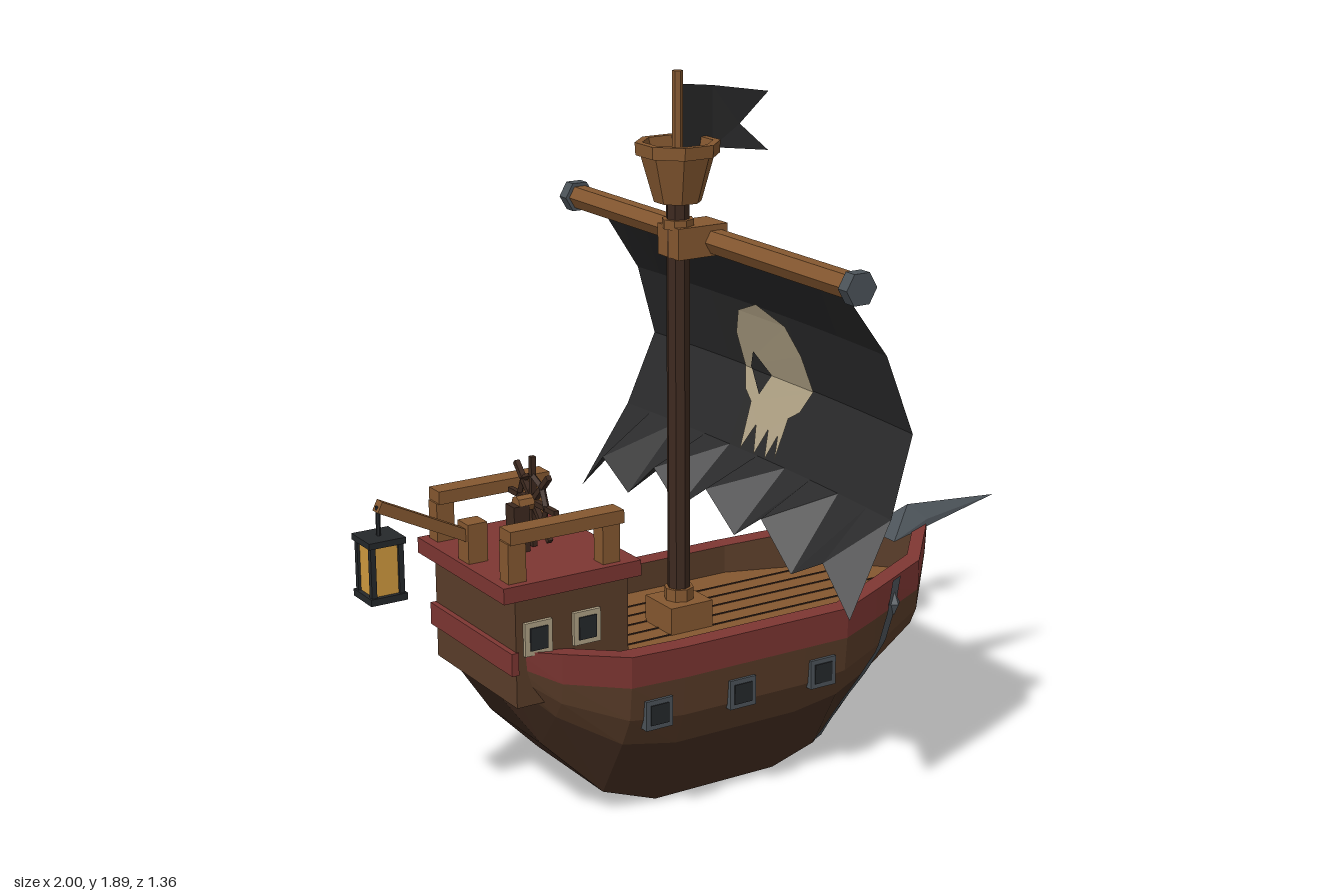
import * as THREE from 'three';
import { ConvexGeometry } from 'three/addons/geometries/ConvexGeometry.js';

const V = (x, y, z) => new THREE.Vector3(x, y, z);
const { lerp, clamp } = THREE.MathUtils;

export function createModel() {
  const ship = new THREE.Group();
  ship.name = 'sailingShip';
  const paint = (name, color, open) => {
    const m = new THREE.MeshStandardMaterial({ color, flatShading: true });
    if (open) m.side = THREE.DoubleSide;
    m.name = name;
    return m;
  };
  const red = paint('redTrim', 0x7d3632, true);
  const hullWood = paint('hullWood', 0x5a3d29, true);
  const lowWood = paint('lowerHullWood', 0x452e21, true);
  const darkWood = paint('darkWood', 0x3d291f, true);
  const wood = paint('lightWood', 0x855830, true);
  const metal = paint('metal', 0x4c5359, true);
  const iron = paint('darkIron', 0x25282b);
  const cloth = paint('blackCloth', 0x2a2a2b, true);
  const bone = paint('bone', 0xb0a285, true);
  const glow = paint('lanternGlass', 0xd09a3e);

  const add = (name, geo, mat, x = 0, y = 0, z = 0, parent = ship) => {
    const m = new THREE.Mesh(geo, mat);
    m.name = name;
    m.position.set(x, y, z);
    parent.add(m);
    return m;
  };
  const box = (name, mat, w, h, d, x, y, z) => add(name, new THREE.BoxGeometry(w, h, d), mat, x, y, z);
  const tube = (name, mat, r, h, n, x, y, z) => add(name, new THREE.CylinderGeometry(r, r, h, n), mat, x, y, z);
  // Flat-shaded surface through rows of points
  const skin = (name, rows, mat) => {
    const p = [];
    for (let i = 0; i + 1 < rows.length; i++)
      for (let j = 0; j + 1 < rows[i].length; j++) {
        const a = rows[i][j], b = rows[i][j + 1], c = rows[i + 1][j + 1], d = rows[i + 1][j];
        for (const v of [a, b, c, a, c, d]) p.push(v.x, v.y, v.z);
      }
    const g = new THREE.BufferGeometry();
    g.setAttribute('position', new THREE.Float32BufferAttribute(p, 3));
    g.computeVertexNormals();
    return add(name, g, mat);
  };

  // Hull stations: x, keel height, rail height, half width
  const stations = [
    [-0.685, 0.37, 0.52, 0.205], [-0.58, 0.22, 0.505, 0.255], [-0.42, 0.06, 0.485, 0.325],
    [-0.26, 0, 0.48, 0.325], [0.115, 0, 0.48, 0.325], [0.25, 0.04, 0.48, 0.325],
    [0.375, 0.085, 0.495, 0.283], [0.57, 0.215, 0.52, 0.213], [0.71, 0.38, 0.545, 0.06],
    [0.757, 0.475, 0.555, 0.004]];
  const shares = [[0, 0.99], [0.27, 0.96], [0.5, 0.84], [1, 0.53]];
  const atLevel = ([x, keel, top, w], k, s) => {
    if (k === 0) return V(x, top, s * w);
    const band = top - 0.085 * Math.min(1, (top - keel) / 0.3);
    const [t, f] = shares[k - 1];
    // The keel narrows to a stem at the bow
    const taper = k === 4 ? 1 - clamp((x - 0.25) / 0.5, 0, 1) : 1;
    return V(x, lerp(band, keel, t), s * w * f * taper);
  };
  const hullPoint = (x, level, s) => {
    let i = 0;
    while (i < stations.length - 2 && stations[i + 1][0] < x) i++;
    const t = (x - stations[i][0]) / (stations[i + 1][0] - stations[i][0]);
    const k = Math.min(3, Math.floor(level));
    const at = n => atLevel(stations[i], n, s).lerp(atLevel(stations[i + 1], n, s), t);
    return at(k).lerp(at(k + 1), level - k);
  };
  const deckY = 0.4;
  const inner = w => Math.max(w - 0.055, 0);
  const inside = stations.slice(0, -1);
  for (const s of [1, -1]) {
    const band = (name, mat, ks) => skin(name, stations.map(st => ks.map(k => atLevel(st, k, s))), mat);
    band('redBand', red, [0, 1]);
    band('hullSide', hullWood, [1, 2, 3]);
    band('lowerHull', lowWood, [3, 4]);
    skin('railTop', stations.map(st => [V(st[0], st[2], s * st[3]), V(st[0], st[2], s * inner(st[3]))]), red);
    skin('bulwark', inside.map(st => [V(st[0], st[2], s * inner(st[3])), V(st[0], deckY, s * inner(st[3]))]), hullWood);

    // Metal strap and stud near the bow
    const path = [0.455, 0.435, 0.4, 0.34, 0.23], strap = [];
    for (let i = 0; i <= 20; i++) {
      const l = i * 0.193, k = Math.min(3, Math.floor(l)), x = lerp(path[k], path[k + 1], l - k);
      strap.push([-0.018, 0.018].map(d => hullPoint(x + d, l, s).add(V(0, -0.001 * l, s * 0.01))));
    }
    skin('bowStrap', strap, metal);
    add('strapStud', new THREE.OctahedronGeometry(0.022), metal, 0.447, 0.435, s * 0.265).scale.set(0.9, 1.6, 0.9);

    // Gun ports
    for (const x of [-0.34, -0.085, 0.17]) {
      box('portFrame', metal, 0.08, 0.08, 0.04, x, 0.315, s * 0.306);
      box('portPane', iron, 0.054, 0.054, 0.046, x, 0.315, s * 0.306);
    }
    // Cabin windows
    for (const x of [-0.63, -0.49]) {
      box('windowFrame', bone, 0.078, 0.088, 0.02, x, 0.55, s * 0.215);
      box('windowPane', iron, 0.05, 0.06, 0.028, x, 0.55, s * 0.215);
    }
    // Cabin roof railing
    box('roofRail', wood, 0.325, 0.035, 0.056, -0.5375, 0.82, s * 0.19);
    for (const x of [-0.68, -0.41]) box('railPost', wood, 0.05, 0.11, 0.045, x, 0.75, s * 0.19);
  }
  skin('hullBottom', stations.map(st => [atLevel(st, 4, 1), atLevel(st, 4, -1)]), darkWood);
  skin('deck', inside.map(st => [V(st[0], deckY, -inner(st[3])), V(st[0], deckY, inner(st[3]))]), wood);
  for (const z of [-0.18, -0.12, -0.06, 0, 0.06, 0.12, 0.18]) {
    const end = 0.64 - Math.abs(z) * 0.9;
    box('deckSeam', darkWood, end + 0.36, 0.003, 0.005, (end - 0.36) / 2, deckY + 0.001, z);
  }
  add('bowSpike', new ConvexGeometry([V(1, 0.575, 0), V(0.69, 0.6, 0), V(0.76, 0.525, 0),
    V(0.595, 0.525, 0.067), V(0.595, 0.525, -0.067), V(0.73, 0.56, 0.04), V(0.73, 0.56, -0.04)]), metal);

  // Cabin
  box('cabin', hullWood, 0.325, 0.29, 0.43, -0.5275, 0.515, 0);
  box('cabinRoof', red, 0.395, 0.042, 0.465, -0.5325, 0.68, 0);
  box('sternTrim', red, 0.02, 0.06, 0.44, -0.695, 0.49, 0);

  // Steering wheel
  box('wheelStand', darkWood, 0.045, 0.13, 0.045, -0.56, 0.76, 0);
  const wheel = new THREE.Group();
  wheel.name = 'steeringWheel';
  wheel.position.set(-0.515, 0.825, 0);
  wheel.rotation.y = Math.PI / 2;
  ship.add(wheel);
  add('wheelRim', new THREE.TorusGeometry(0.07, 0.009, 4, 8), darkWood, 0, 0, 0, wheel);
  add('wheelHub', new THREE.CylinderGeometry(0.022, 0.022, 0.07, 8), wood, 0, 0, -0.015, wheel).rotation.x = Math.PI / 2;
  for (let i = 0; i < 4; i++)
    add('wheelSpoke', new THREE.BoxGeometry(0.014, 0.24, 0.014), darkWood, 0, 0, 0, wheel).rotation.z = i * Math.PI / 4;

  // Stern lantern
  box('lanternPost', wood, 0.055, 0.11, 0.055, -0.69, 0.75, 0);
  box('lanternArm', wood, 0.28, 0.03, 0.03, -0.825, 0.828, 0).rotation.z = -0.46;
  tube('lanternHook', iron, 0.006, 0.08, 6, -0.95, 0.85, 0);
  box('lanternCap', iron, 0.1, 0.016, 0.1, -0.95, 0.807, 0);
  box('lanternBase', iron, 0.1, 0.018, 0.1, -0.95, 0.661, 0);
  box('lanternGlass', glow, 0.076, 0.14, 0.076, -0.95, 0.73, 0);
  for (const x of [-1, 1]) for (const z of [-1, 1])
    box('lanternCorner', iron, 0.014, 0.14, 0.014, -0.95 + x * 0.038, 0.73, z * 0.038);

  // Mast, yard and crow's nest
  const mx = -0.075;
  tube('mast', darkWood, 0.031, 1.17, 8, mx, 0.985, 0);
  box('mastBase', wood, 0.13, 0.075, 0.13, mx, 0.437, 0);
  tube('mastFoot', wood, 0.04, 0.04, 8, mx, 0.488, 0);
  box('yardBlock', wood, 0.15, 0.082, 0.1, -0.03, 1.452, 0);
  tube('mastCollar', wood, 0.042, 0.025, 8, mx, 1.498, 0);
  const spar = (name, mat, r, h, z) => tube(name, mat, r, h, 6, 0.01, 1.448, z).rotation.set(Math.PI / 2, Math.PI / 6, 0);
  spar('yard', wood, 0.034, 1.3, 0);
  for (const s of [1, -1]) spar('yardCap', metal, 0.045, 0.036, s * 0.663);
  const nest = [[0, 1.555], [0.062, 1.555], [0.096, 1.675], [0.109, 1.677], [0.111, 1.71], [0.091, 1.71], [0.064, 1.6], [0, 1.6]];
  const nestGeo = new THREE.LatheGeometry(nest.map(p => new THREE.Vector2(...p)), 8, Math.PI / 8);
  add('crowsNest', nestGeo, wood, mx, 0, 0);
  tube('flagPole', wood, 0.014, 0.31, 6, mx, 1.735, 0);

  const outline = pts => new THREE.ShapeGeometry(new THREE.Shape(pts.map(p => new THREE.Vector2(...p))));
  const bend = (geo, rule) => {
    const p = geo.attributes.position;
    for (let i = 0; i < p.count; i++) p.setXYZ(i, ...rule(p.getX(i), p.getY(i)));
    geo.computeVertexNormals();
    return geo;
  };
  // Flag with a gentle wave
  add('flag', bend(outline([[-0.065, 1.855], [0.05, 1.838], [0.217, 1.81], [0.137, 1.73], [0.217, 1.655], [0.05, 1.677], [-0.065, 1.69]]),
    (x, y) => [x, y, -0.035 * Math.sin((x + 0.065) * 9)]), cloth);

  // Billowing sail with a ragged hem
  const profile = [[1.43, 0.03], [1.24, 0.182], [1.035, 0.252], [0.83, 0.175]];
  const sailX = (y, z) => {
    let i = 0;
    while (i < 2 && profile[i + 1][0] > y) i++;
    const [a, b] = [profile[i], profile[i + 1]];
    return lerp(a[1], b[1], (y - a[0]) / (b[0] - a[0])) - 0.06 * z * z;
  };
  const halfHem = [[1, 0.6], [0.82, 0.715], [0.61, 0.645], [0.4, 0.755], [0.21, 0.675], [0, 0.765]];
  const hem = [...halfHem, ...halfHem.slice(0, 5).reverse().map(([u, y]) => [-u, y])];
  const rows = profile.map(([y], i) => hem.map(([u]) => {
    const z = u * (0.565 + 0.108 * (1.43 - y));
    return V(i ? sailX(y, z) : 0.03, y, z);
  }));
  rows.push(hem.map(([u, y]) => V(0.01, y, u * 0.655)));
  skin('sail', rows, cloth);

  // Painted skull on both faces of the sail
  const crown = [[0.16, 1.035], [0.155, 1.135], [0.11, 1.21], [0, 1.25], [-0.11, 1.21], [-0.15, 1.135], [-0.16, 1.035]];
  const jaw = [[0.16, 1.035], [0.13, 0.98], [0.09, 0.955], [0.075, 0.832], [0.038, 0.905], [0.01, 0.832], [-0.02, 0.905],
    [-0.042, 0.832], [-0.068, 0.9], [-0.085, 0.84], [-0.09, 0.95], [-0.13, 0.975], [-0.16, 1.035]];
  const eyeTop = [[0.125, 1.042], [0.09, 1.095], [0.03, 1.04], [0.031, 1.035], [0.123, 1.035]];
  const eyeLow = [[0.123, 1.035], [0.031, 1.035], [0.06, 0.98]];
  for (const s of [1, -1]) {
    const decal = (name, pts, mat, off) =>
      add(name, bend(outline(pts), (z, y) => [sailX(y, z) + s * off, y, s * z]), mat);
    decal('skullCrown', crown, bone, 0.006);
    decal('skullJaw', jaw, bone, 0.006);
    decal('skullEye', eyeTop, cloth, 0.01);
    decal('skullEye', eyeLow, cloth, 0.01);
  }
  return ship;
}
